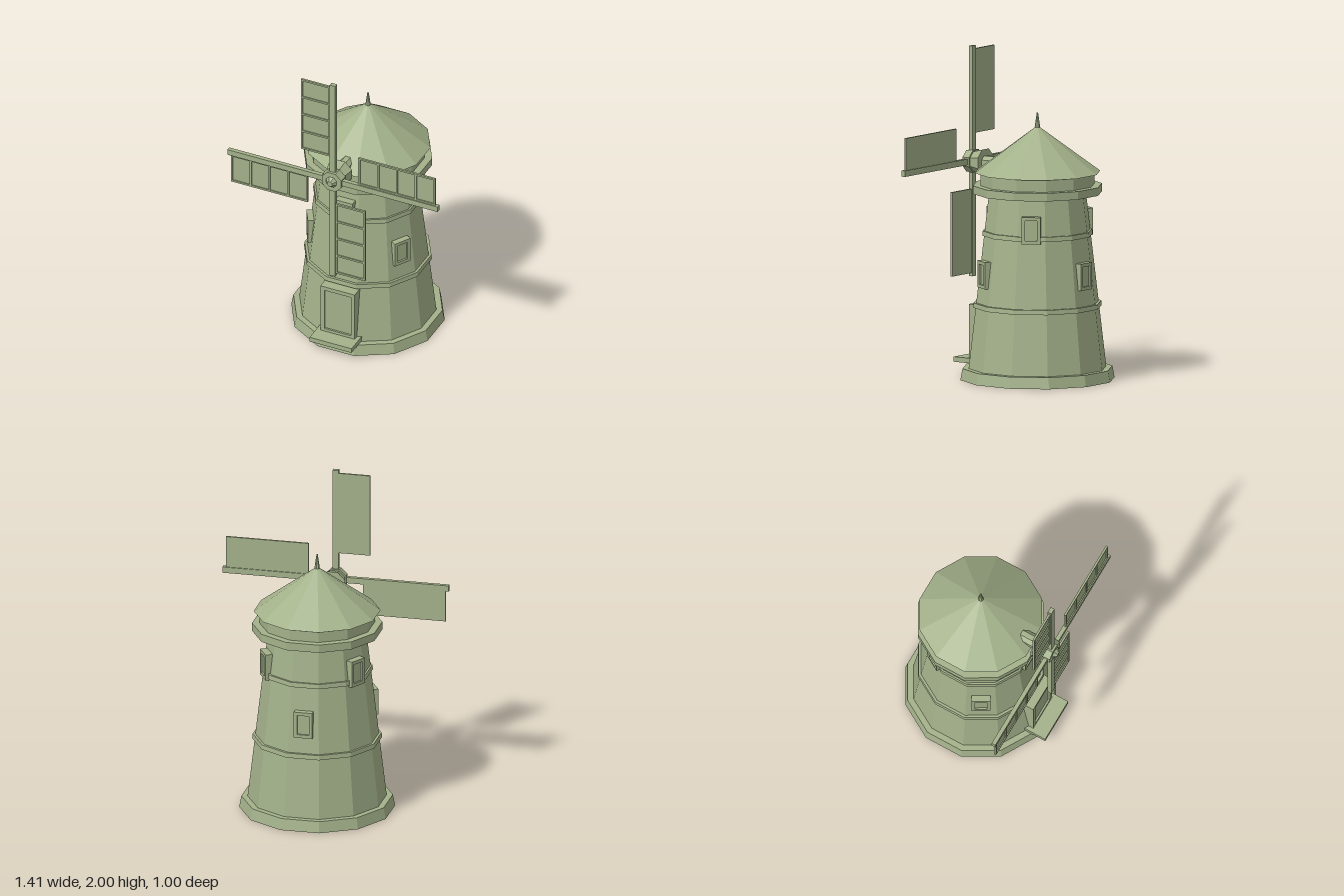
import * as THREE from 'three';

const sage = new THREE.MeshStandardMaterial({ color: 0xa3b18a, flatShading: true });
sage.name = 'sage';

const CENTRE_Z = -0.045;
const HUB_Y = 1.294;
const HUB_Z = 0.446;

function add(parent, name, geometry, x = 0, y = 0, z = 0) {
  const mesh = new THREE.Mesh(geometry, sage);
  mesh.name = name;
  mesh.position.set(x, y, z);
  parent.add(mesh);
  return mesh;
}

// Twelve-sided ring standing from y0 to y1; radii are measured to the flat sides
function tier(parent, name, y0, y1, bottom, top) {
  const k = 1 / Math.cos(Math.PI / 12);
  const g = new THREE.CylinderGeometry(top * k, bottom * k, y1 - y0, 12);
  g.rotateY(Math.PI / 12);
  return add(parent, name, g, 0, (y0 + y1) / 2, 0);
}

// Eight-sided axle piece lying along z
function axlePiece(parent, name, z0, z1, back, front) {
  const g = new THREE.CylinderGeometry(front, back, z1 - z0, 8);
  g.rotateY(Math.PI / 8);
  g.rotateX(Math.PI / 2);
  return add(parent, name, g, 0, 0, (z0 + z1) / 2);
}

function rectangle(Type, x0, y0, x1, y1) {
  const r = new Type();
  r.moveTo(x0, y0);
  r.lineTo(x1, y0);
  r.lineTo(x1, y1);
  r.lineTo(x0, y1);
  r.closePath();
  return r;
}

// Frame with a stack of openings, and a thinner panel set behind it; back at z = 0
function framedPanel(name, w, h, depth, border, recess, rows = 1) {
  const group = new THREE.Group();
  group.name = name;
  const shape = rectangle(THREE.Shape, -w / 2, -h / 2, w / 2, h / 2);
  const cell = (h - border * (rows + 1)) / rows;
  for (let i = 0; i < rows; i++) {
    const y = -h / 2 + border + i * (cell + border);
    shape.holes.push(rectangle(THREE.Path, -w / 2 + border, y, w / 2 - border, y + cell));
  }
  add(group, 'frame', new THREE.ExtrudeGeometry(shape, { depth, bevelEnabled: false }));
  const inner = depth - recess;
  add(group, 'panel', new THREE.BoxGeometry(w - border, h - border, inner), 0, 0, inner / 2);
  return group;
}

export function createModel() {
  const model = new THREE.Group();
  model.name = 'windmill';

  // Tower, bands and cap
  const tower = new THREE.Group();
  tower.name = 'tower';
  tower.position.z = CENTRE_Z;
  model.add(tower);
  tier(tower, 'foundation', 0, 0.07, 0.457, 0.444);
  tier(tower, 'towerBody', 0.06, 1.15, 0.409, 0.286);
  tier(tower, 'lowerBand', 0.443, 0.472, 0.381, 0.378);
  tier(tower, 'upperBand', 0.883, 0.912, 0.327, 0.324);
  tier(tower, 'collar', 1.14, 1.19, 0.382, 0.382);
  tier(tower, 'neck', 1.19, 1.267, 0.338, 0.338);
  tier(tower, 'roof', 1.267, 1.552, 0.372, 0);
  add(tower, 'finial', new THREE.CylinderGeometry(0.004, 0.017, 0.09, 8), 0, 1.586, 0);

  // Windows alternate between two heights around the tower
  for (let i = 0; i < 6; i++) {
    const upper = i % 2 === 0;
    const mount = new THREE.Group();
    mount.name = upper ? 'upperWindow' : 'lowerWindow';
    mount.rotation.y = (i * Math.PI) / 3;
    const pane = framedPanel('window', 0.115, 0.165, 0.06, 0.021, 0.012);
    pane.position.set(0, upper ? 0.952 : 0.656, upper ? 0.284 : 0.311);
    mount.add(pane);
    tower.add(mount);
  }

  // Door and step
  const door = framedPanel('door', 0.23, 0.335, 0.1, 0.026, 0.012);
  door.position.set(0, 0.266, 0.287);
  model.add(door);
  add(model, 'doorStep', new THREE.BoxGeometry(0.282, 0.031, 0.15), 0, 0.09, 0.41);

  // Axle and hub
  const rotor = new THREE.Group();
  rotor.name = 'rotor';
  rotor.position.y = HUB_Y;
  model.add(rotor);
  axlePiece(rotor, 'axle', 0.1, 0.37, 0.043, 0.043);
  axlePiece(rotor, 'hubFlare', 0.347, 0.425, 0.086, 0.064);
  axlePiece(rotor, 'hub', 0.42, 0.473, 0.075, 0.07);
  axlePiece(rotor, 'hubNose', 0.473, 0.498, 0.038, 0.018);

  // Four arms, each with a spar and a sail of four cells
  for (let i = 0; i < 4; i++) {
    const arm = new THREE.Group();
    arm.name = 'arm';
    arm.rotation.z = (i * Math.PI) / 2;
    arm.position.z = HUB_Z;
    add(arm, 'spar', new THREE.BoxGeometry(0.037, 0.706, 0.026), 0, 0.353, 0);
    const sail = framedPanel('sail', 0.198, 0.516, 0.013, 0.012, 0.007, 4);
    sail.position.set(-0.116, 0.428, -0.007);
    arm.add(sail);
    rotor.add(arm);
  }

  return model;
}
